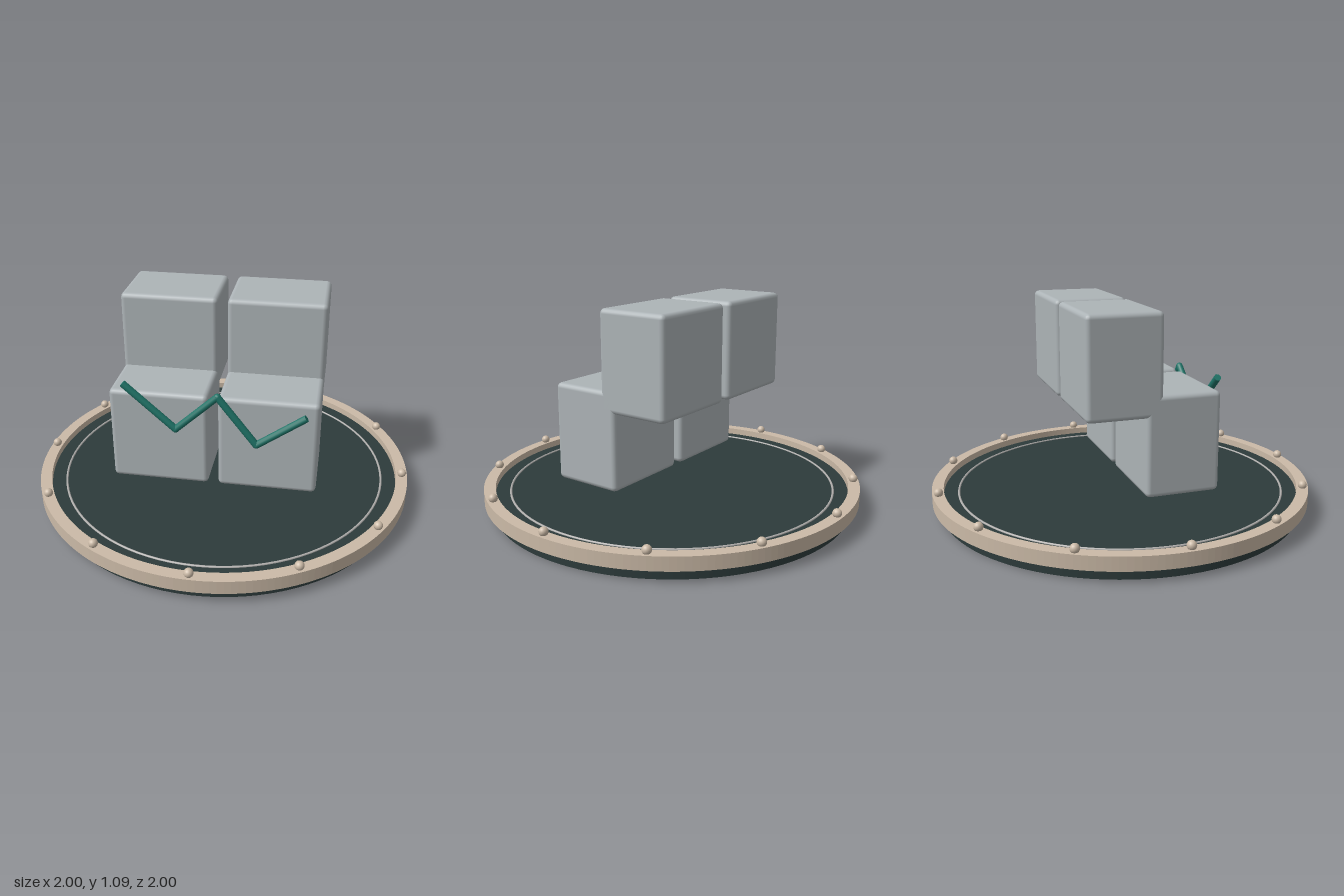
import * as THREE from 'three';
import { RoundedBoxGeometry } from 'three/addons/geometries/RoundedBoxGeometry.js';

const mat = (name, color) => {
  const m = new THREE.MeshStandardMaterial({ color });
  m.name = name;
  return m;
};

export function createModel() {
  const model = new THREE.Group();
  const slate = mat('dark slate', 0x2d3b3b);
  const sand = mat('sand', 0xcbbaa7);
  const stone = mat('pale grey', 0xadb4b7);
  const silver = mat('silver', 0xb0aeac);
  const teal = mat('teal', 0x1f7468);

  const add = (name, geometry, material, x = 0, y = 0, z = 0, parent = model) => {
    const mesh = new THREE.Mesh(geometry, material);
    mesh.name = name;
    mesh.position.set(x, y, z);
    parent.add(mesh);
    return mesh;
  };

  // Round base plate, sunk a little below the top of its rim
  add('basePlate', new THREE.CylinderGeometry(0.955, 0.955, 0.095, 96), slate, 0, 0.0475, 0);

  // Flat-sided rim around the plate
  const ring = new THREE.Shape().absarc(0, 0, 1, 0, Math.PI * 2);
  ring.holes.push(new THREE.Path().absarc(0, 0, 0.94, 0, Math.PI * 2, true));
  const rimGeometry = new THREE.ExtrudeGeometry(ring, { depth: 0.07, bevelEnabled: false, curveSegments: 96 });
  rimGeometry.rotateX(-Math.PI / 2);
  add('rim', rimGeometry, sand, 0, 0.06, 0);

  // Thin inlaid circle
  const inlay = new THREE.TorusGeometry(0.863, 0.006, 8, 96);
  inlay.rotateX(Math.PI / 2);
  add('inlayRing', inlay, silver, 0, 0.096, 0);

  // Twelve studs on the rim
  const studs = new THREE.Group();
  studs.name = 'studs';
  model.add(studs);
  const studGeometry = new THREE.SphereGeometry(0.023, 16, 12);
  for (let i = 0; i < 12; i++) {
    const a = (i / 12) * Math.PI * 2;
    add('stud', studGeometry, sand, Math.cos(a) * 0.97, 0.145, Math.sin(a) * 0.97, studs);
  }

  // Two stepped pairs of floating blocks
  const blockGeometry = new RoundedBoxGeometry(0.5, 0.505, 0.38, 2, 0.025);
  for (const [side, x] of [['left', 0.273], ['right', -0.277]]) {
    add(side + 'LowerBlock', blockGeometry, stone, x, 0.444, 0.148);
    add(side + 'UpperBlock', blockGeometry, stone, x, 0.84, -0.147);
  }

  // Zigzag rod across the front
  const zigzag = new THREE.Group();
  zigzag.name = 'zigzagRod';
  model.add(zigzag);
  const points = [
    [-0.447, 0.745, 0.351], [-0.185, 0.515, 0.357], [0.025, 0.708, 0.35],
    [0.22, 0.462, 0.358], [0.46, 0.632, 0.354],
  ].map((p) => new THREE.Vector3(...p));
  const up = new THREE.Vector3(0, 1, 0);
  for (let i = 0; i < points.length - 1; i++) {
    const dir = points[i + 1].clone().sub(points[i]);
    const mid = points[i].clone().addScaledVector(dir, 0.5);
    const rod = add('rodSegment', new THREE.CylinderGeometry(0.018, 0.018, dir.length(), 12), teal, mid.x, mid.y, mid.z, zigzag);
    rod.quaternion.setFromUnitVectors(up, dir.normalize());
    // Rounded elbow between segments
    if (i > 0) add('rodElbow', new THREE.SphereGeometry(0.018, 12, 8), teal, ...points[i].toArray(), zigzag);
  }
  return model;
}
